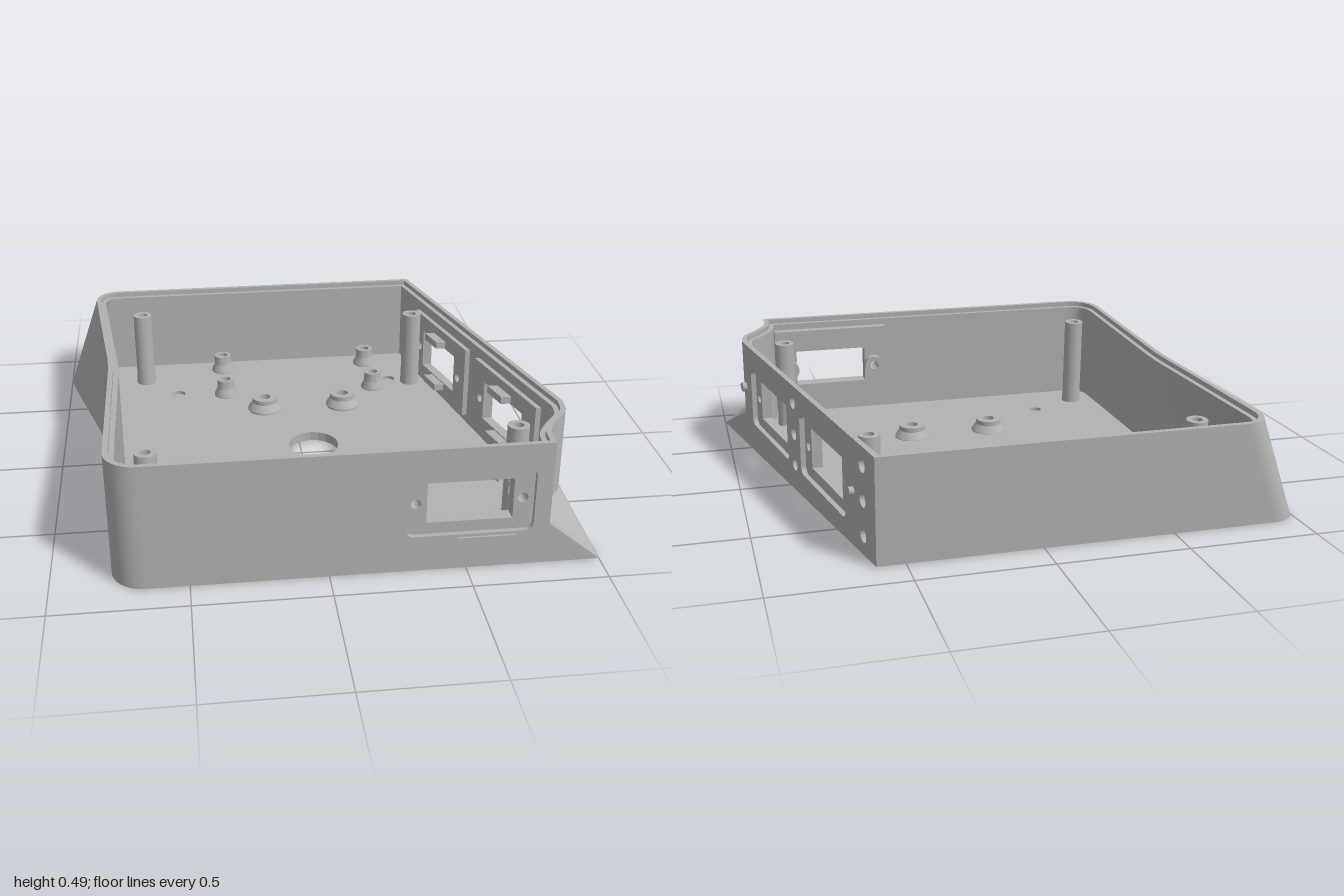
import * as THREE from 'three';
import { toCreasedNormals } from 'three/addons/utils/BufferGeometryUtils.js';

const TILT = 0.048;   // the walls lean back, square to the sloping rim
const TOP = 0.447;    // rim height in the tilted frame
const FRONT = 0.886, BACK = -0.865, SLOPE = 0.2255;
const rightX = z => 1 - SLOPE * (FRONT - z);
const floorAt = z => -TILT * z;   // ground level in the tilted frame

const grey = new THREE.MeshStandardMaterial({ color: 0xb2b2b2 });
grey.name = 'grey plastic';

function add(parent, name, geo) {
  const mesh = new THREE.Mesh(geo, grey);
  mesh.name = name;
  parent.add(mesh);
  return mesh;
}

// Inset a closed plan outline by distance d
function inset(pts, d) {
  const n = pts.length;
  const normal = (a, b) => {
    const l = Math.hypot(b[0] - a[0], b[1] - a[1]);
    return [-(b[1] - a[1]) / l, (b[0] - a[0]) / l];
  };
  return pts.map((p, i) => {
    const a = normal(pts[(i + n - 1) % n], p), b = normal(p, pts[(i + 1) % n]);
    const k = d / (1 + a[0] * b[0] + a[1] * b[1]);
    return [p[0] + (a[0] + b[0]) * k, p[1] + (a[1] + b[1]) * k];
  });
}

function arc(cx, cz, rx, rz, a0, a1, n) {
  return Array.from({ length: n + 1 }, (_, i) => {
    const a = a0 + (a1 - a0) * i / n;
    return [cx + rx * Math.cos(a), cz + rz * Math.sin(a)];
  });
}

function curve(pts, n) {
  return new THREE.SplineCurve(pts.map(p => new THREE.Vector2(...p))).getPoints(n).map(p => [p.x, p.y]);
}

// Plan outlines, clockwise from above, starting at the front end of the right wall
function outlines() {
  const notch = curve([[rightX(0.55), 0.55], [0.91, 0.635], [0.855, 0.71], [0.81, 0.785], [0.8, FRONT]], 14);
  const front = [[0.22, FRONT], ...arc(-0.66, FRONT - 0.12, 0.12, 0.12, Math.PI / 2, Math.PI, 8)];
  const topSide = curve([[-0.78, 0.06], [-0.785, -0.05], [-0.797, -0.17], [-0.848, -0.68], [-0.855, -0.76]], 16);
  const lowSide = curve([[-0.78, 0.06], [-0.79, -0.05], [-0.82, -0.17], [-0.975, -0.68], [-1, -0.78]], 16);
  const topBack = arc(-0.755, -0.765, 0.1, 0.1, Math.PI, Math.PI * 1.5, 8);
  const lowBack = arc(-0.9, -0.785, 0.1, 0.08, Math.PI, Math.PI * 1.5, 8);
  const end = [[rightX(BACK), BACK]];
  const spike = notch.map((p, i) => i === 0 || i === notch.length - 1 ? p : [1, FRONT]);
  return {
    top: [...notch, ...front, ...topSide, ...topBack, ...end],
    low: [...spike, ...front, ...lowSide, ...lowBack, ...end],
    inner: [...notch, ...front, ...lowSide, ...lowBack, ...end],
    notchCount: notch.length,
  };
}

// Skin over rows of [x, y, z] points; skip(row, i) leaves panels open
function skin(rows, skip) {
  const pos = [], n = rows[0].length;
  for (let r = 0; r < rows.length - 1; r++) {
    for (let i = 0; i < n; i++) {
      if (skip(r, i)) continue;
      const j = (i + 1) % n;
      const [a, b, c, d] = [rows[r][i], rows[r + 1][i], rows[r + 1][j], rows[r][j]];
      pos.push(...a, ...b, ...c, ...a, ...c, ...d);
    }
  }
  const geo = new THREE.BufferGeometry();
  geo.setAttribute('position', new THREE.Float32BufferAttribute(pos, 3));
  return toCreasedNormals(geo, 0.5);
}

const polygon = pts => new THREE.Shape(pts.map(p => new THREE.Vector2(...p)));
const disc = (x, y, r) => new THREE.Shape().absarc(x, y, r, 0, Math.PI * 2);
function box(x0, x1, y0, y1, r = 0.001) {
  const s = new THREE.Shape();
  s.absarc(x1 - r, y1 - r, r, 0, Math.PI / 2);
  s.absarc(x0 + r, y1 - r, r, Math.PI / 2, Math.PI);
  s.absarc(x0 + r, y0 + r, r, Math.PI, Math.PI * 1.5);
  s.absarc(x1 - r, y0 + r, r, Math.PI * 1.5, Math.PI * 2);
  s.closePath();
  return s;
}

// Plate between depths d0 and d1 (negative is inward)
function plate(shape, holes, d0, d1, matrix) {
  shape.holes.push(...holes);
  const geo = new THREE.ExtrudeGeometry(shape, { depth: d1 - d0, bevelEnabled: false, curveSegments: 10 });
  geo.translate(0, 0, d0);
  return geo.applyMatrix4(matrix);
}

// Hollow screw post with a flared foot
function post(parent, name, x, z, top, rFoot, r, hole) {
  const y0 = floorAt(z) + 0.03, foot = y0 + 0.045;
  const pts = [[rFoot, y0], [rFoot, y0 + 0.015], [r, foot], [r, top], [hole, top], [hole, top - 0.035], [0, top - 0.035]];
  const geo = new THREE.LatheGeometry(pts.map(p => new THREE.Vector2(...p)), 24);
  add(parent, name, toCreasedNormals(geo, 0.5)).position.set(x, 0, z);
}

export function createModel() {
  const model = new THREE.Group();
  model.name = 'enclosure';
  const shell = new THREE.Group();
  shell.name = 'tiltedShell';
  shell.rotation.x = -TILT;
  model.add(shell);

  // Curved wall with a stepped rim, left open at the two panels
  const { top, low, inner, notchCount } = outlines();
  const at = (pts, y) => pts.map(p => [p[0], y, p[1]]);
  const ground = (pts, up) => pts.map(p => [p[0], floorAt(p[1]) + up, p[1]]);
  const k = (0.12 - 0) / TOP;
  const mid = top.map((p, i) => i < notchCount
    ? [p[0], 0.12, p[1]]
    : [low[i][0] + (p[0] - low[i][0]) * k, floorAt(low[i][1]) + (TOP - floorAt(low[i][1])) * k, low[i][1] + (p[1] - low[i][1]) * k]);
  const rows = [ground(low, 0), mid, at(top, TOP), at(inset(top, 0.02), TOP), at(inset(top, 0.02), TOP - 0.02),
    at(inset(top, 0.04), TOP - 0.02), ground(inset(inner, 0.04), 0.02)];
  const isPanel = i => i === notchCount - 1 || i === top.length - 1;
  add(shell, 'wall', skin(rows, (r, i) => isPanel(i) && (r < 2 || r === 5)));

  // Front panel with its recessed socket opening
  const frontM = new THREE.Matrix4().makeTranslation(0, 0, FRONT);
  const frontPanel = h => box(0.22, 0.8, floorAt(FRONT), h);
  const frontHoles = () => [box(0.35, 0.665, 0.143, 0.303), disc(0.31, 0.223, 0.019), disc(0.7, 0.223, 0.019)];
  add(shell, 'frontPanelOuter', plate(frontPanel(TOP), [box(0.275, 0.74, 0.098, 0.348, 0.03), box(0.46, 0.68, 0.081, 0.087)], -0.02, 0, frontM));
  add(shell, 'frontPanelInner', plate(frontPanel(TOP - 0.02), frontHoles(), -0.04, -0.02, frontM));
  add(shell, 'frontBackingPlate', plate(box(0.25, 0.76, 0.03, 0.4), frontHoles(), -0.075, -0.04, frontM));
  for (const x of [0.31, 0.7])
    add(shell, 'frontScrewBoss', plate(disc(x, 0.223, 0.042), [disc(x, 0.223, 0.019)], -0.11, -0.075, frontM));

  // Right panel: local x runs towards the back
  const rightM = new THREE.Matrix4().makeBasis(
    new THREE.Vector3(-SLOPE, 0, -1), new THREE.Vector3(0, 1, 0), new THREE.Vector3(1, 0, 0)).setPosition(rightX(0), 0, 0);
  const rightPanel = h => polygon([[-0.55, floorAt(0.55)], [-BACK, floorAt(BACK)], [-BACK, h], [-0.55, h]]);
  const sockets = [-0.45, 0.14];   // where each recess begins
  const windows = s => [box(s + 0.07, s + 0.38, 0.15, 0.315), disc(s + 0.035, 0.23, 0.019), disc(s + 0.415, 0.23, 0.019)];
  const blind = [];
  for (const [s, ys] of [[-0.525, [0.375, 0.115]], [0.07, [0.375, 0.245, 0.115]], [0.755, [0.375, 0.245, 0.11]]])
    for (const y of ys) blind.push(disc(s, y, 0.026));
  add(shell, 'rightPanelOuter', plate(rightPanel(TOP),
    [...sockets.map(s => box(s, s + 0.455, 0.105, 0.355, 0.03)), ...blind], -0.02, 0, rightM));
  add(shell, 'rightPanelInner', plate(rightPanel(TOP - 0.02), sockets.flatMap(windows), -0.04, -0.02, rightM));
  for (const s of sockets) {
    add(shell, 'rightBackingPlate', plate(box(s - 0.03, s + 0.475, 0.08, 0.385), windows(s), -0.06, -0.04, rightM));
    for (const y of [0.115, 0.318])
      add(shell, 'socketClip', plate(box(s + 0.16, s + 0.275, y, y + 0.03), [], -0.1, -0.06, rightM));
  }
  for (const [s, y, r] of [[-0.525, 0.25, 0.02], [0.67, 0.247, 0.016]])
    add(shell, 'locatingPin', plate(disc(s, y, r), [], -0.01, 0.018, rightM));

  // Screw posts
  for (const [x, z] of [[-0.65, -0.665], [0.565, -0.53], [-0.635, 0.69], [0.735, 0.64]])
    post(shell, 'cornerPost', x, z, 0.4, 0.043, 0.041, 0.02);
  for (const x of [-0.29, 0.385])
    for (const z of [-0.745, -0.495]) post(shell, 'rearStandoff', x, z, 0.115 + floorAt(z), 0.052, 0.038, 0.022);
  for (const x of [-0.127, 0.222])
    for (const z of [-0.34, 0.355]) post(shell, 'centreStandoff', x, z, 0.095 + floorAt(z), 0.074, 0.055, 0.025);

  // Floor: underside sheet and slab with a round opening and shallow pockets
  const turn = new THREE.Matrix4().makeRotationX(Math.PI / 2);   // plan y becomes z, depth goes down
  const hole = () => disc(0.05, 0.005, 0.104);
  const under = polygon(low);
  under.holes.push(hole());
  add(model, 'underside', new THREE.ShapeGeometry(under, 24).applyMatrix4(turn));
  const pockets = [[-0.505, -0.52], [0.47, -0.565], [-0.675, 0.03], [0.725, 0.37], [-0.42, 0.585], [0.6, 0.625]];
  const slab = () => polygon(inset(inner, 0.02));
  add(model, 'floorLower', plate(slab(), [hole()], -0.025, -0.001, turn));
  add(model, 'floorUpper', plate(slab(), [hole(), ...pockets.map(p => disc(...p, 0.029))], -0.04, -0.025, turn));
  return model;
}
